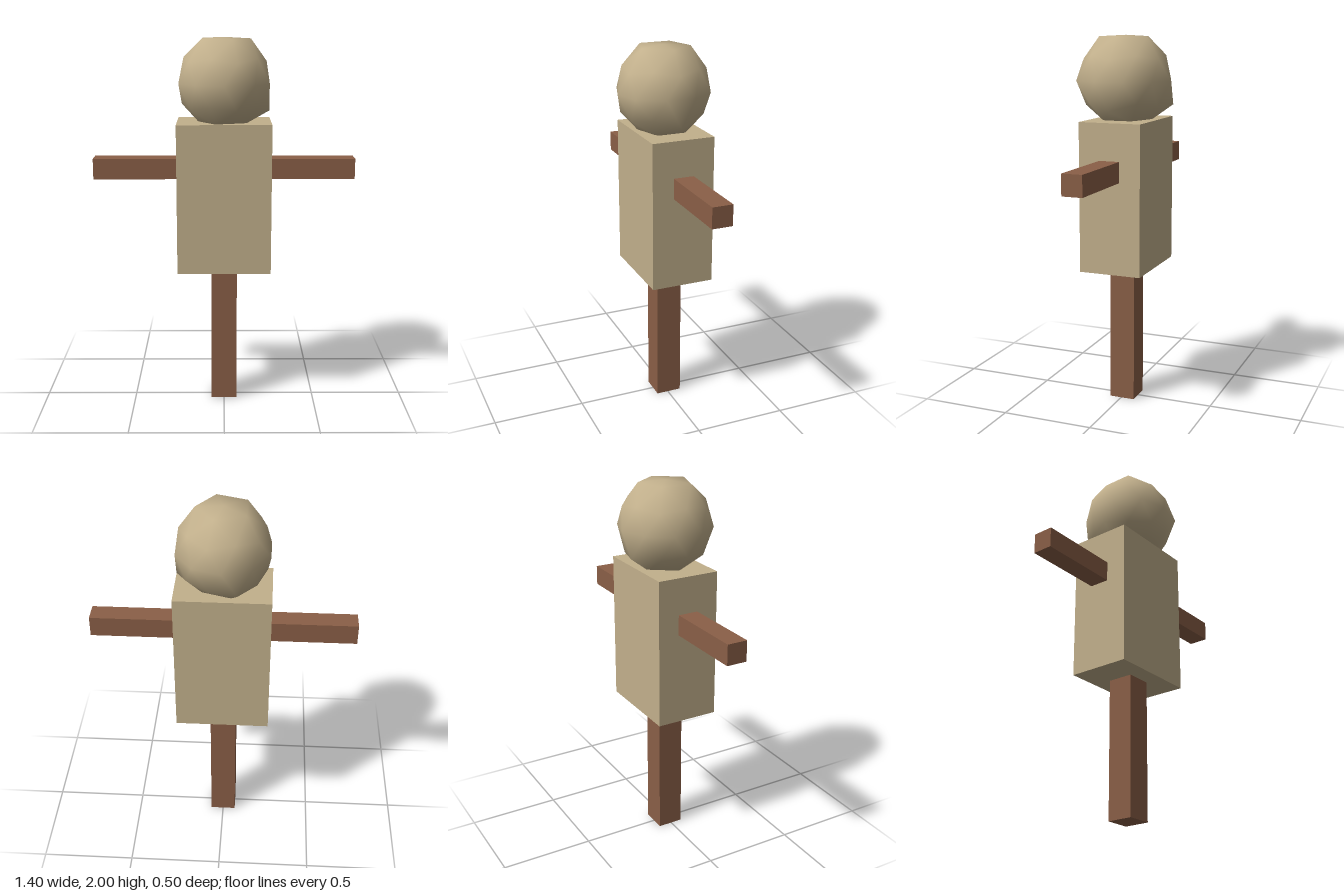
import * as THREE from 'three';

const straw = new THREE.MeshStandardMaterial({ color: 0xc2b08c });
straw.name = 'straw';
const wood = new THREE.MeshStandardMaterial({ color: 0x8a5f47 });
wood.name = 'wood';

function box(name, material, size, position) {
  const mesh = new THREE.Mesh(new THREE.BoxGeometry(...size), material);
  mesh.name = name;
  mesh.position.set(...position);
  return mesh;
}

// Low-poly, smooth-shaded ball with a flattened crown and a few lumps
function makeHead() {
  const radius = 0.25;
  const geometry = new THREE.IcosahedronGeometry(radius, 1);
  geometry.rotateX(-Math.atan((1 + Math.sqrt(5)) / 2)); // one corner straight up
  geometry.rotateY(Math.PI / 2);

  // Lumps: direction of the corner and how far it is pushed out
  const lumps = [
    { dir: new THREE.Vector3(0.85, -0.526, 0), push: 1.13 },
    { dir: new THREE.Vector3(-0.276, -0.447, -0.85), push: 1.13 },
    { dir: new THREE.Vector3(0.588, 0, 0.809), push: 1.07 },
  ];
  const positions = geometry.attributes.position;
  const p = new THREE.Vector3();
  for (let i = 0; i < positions.count; i++) {
    p.fromBufferAttribute(positions, i);
    const lump = lumps.find((l) => l.dir.angleTo(p) < 0.1);
    if (lump) p.multiplyScalar(lump.push);
    if (p.y > 0.2) p.multiplyScalar(1.07);
    p.y = Math.min(p.y, 0.235);
    positions.setXYZ(i, p.x, p.y, p.z);
  }
  const head = new THREE.Mesh(geometry, straw);
  head.name = 'head';
  head.position.y = 1.765;
  return head;
}

export function createModel() {
  const model = new THREE.Group();
  model.name = 'scarecrow';

  model.add(makeHead());
  model.add(box('body', straw, [0.5, 0.8, 0.34], [0, 1.16, -0.008]));
  model.add(box('post', wood, [0.14, 0.8, 0.14], [0, 0.4, -0.006]));

  // Arms, sunk a little into the body
  for (const side of [1, -1]) {
    const name = side > 0 ? 'leftArm' : 'rightArm';
    model.add(box(name, wood, [0.5, 0.11, 0.11], [side * 0.45, 1.309, -0.009]));
  }
  return model;
}
